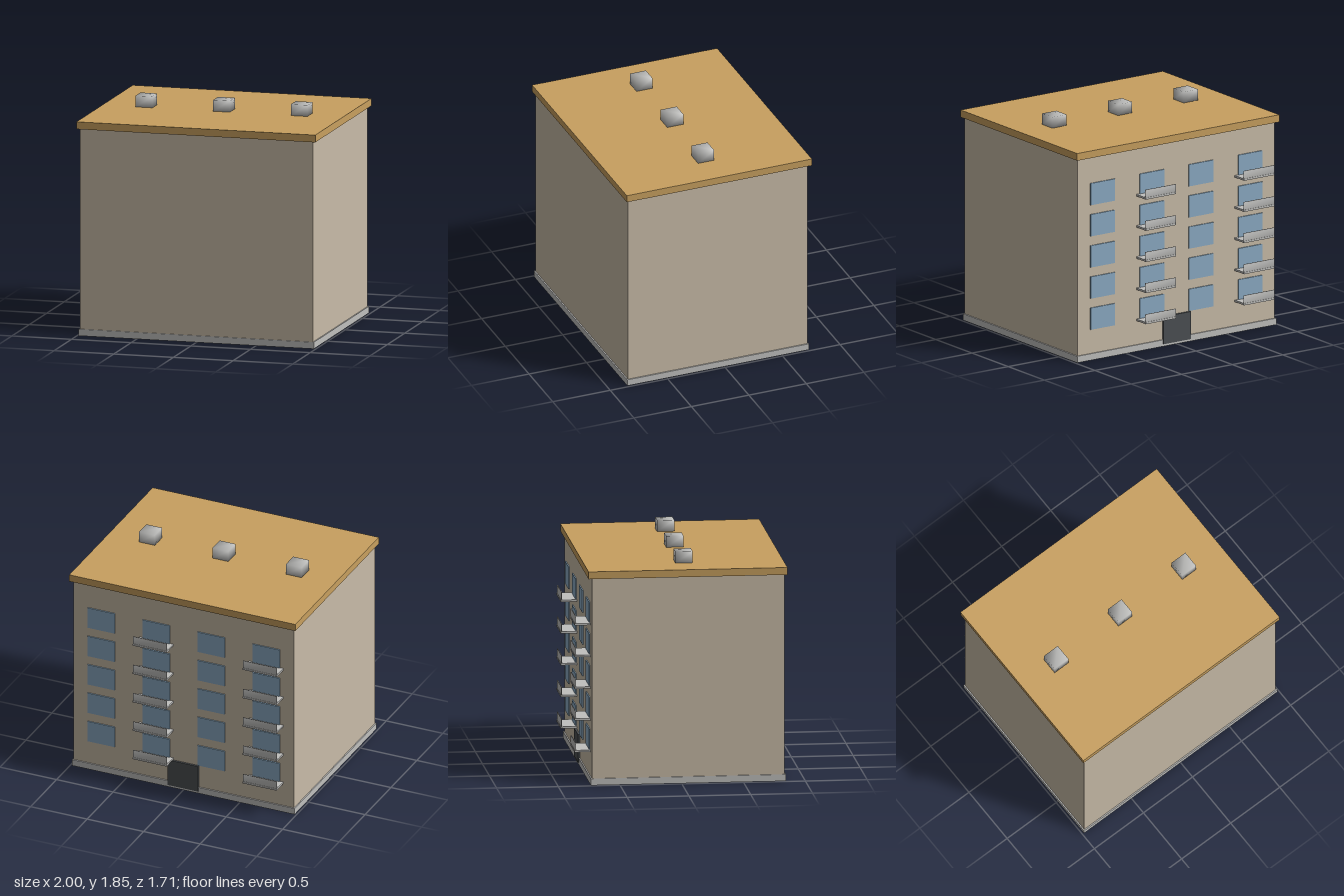
import * as THREE from 'three';
import { mergeVertices } from 'three/addons/utils/BufferGeometryUtils.js';

const material = (name, color) => {
  const m = new THREE.MeshStandardMaterial({ color });
  m.name = name;
  return m;
};

// Box given by its minimum and maximum corners
function block(name, mat, [x0, y0, z0], [x1, y1, z1], soft = false) {
  let geometry = new THREE.BoxGeometry(x1 - x0, y1 - y0, z1 - z0);
  if (soft) {
    // Shared corners give rounded-looking shading
    geometry.deleteAttribute('normal');
    geometry.deleteAttribute('uv');
    geometry = mergeVertices(geometry);
    geometry.computeVertexNormals();
  }
  const mesh = new THREE.Mesh(geometry, mat);
  mesh.name = name;
  mesh.position.set((x0 + x1) / 2, (y0 + y1) / 2, (z0 + z1) / 2);
  return mesh;
}

export function createModel() {
  const plaster = material('plaster', 0xc9bca8);
  const roofing = material('roofing', 0xc8a05f);
  const concrete = material('concrete', 0xc0c0be);
  const glass = material('glass', 0x8babc4);
  const doorPaint = material('door paint', 0x4c5053);

  const model = new THREE.Group();
  model.name = 'apartmentBlock';
  const back = -0.725;

  // Main body, plinth and roof slab
  model.add(
    block('walls', plaster, [-0.975, 0, back], [0.975, 1.695, 0.835]),
    block('plinth', concrete, [-0.985, 0.001, -0.735], [0.985, 0.055, 0.845]),
    block('roof', roofing, [-1, 1.695, -0.755], [1, 1.755, 0.855])
  );

  // Roof vents
  for (const x of [-0.65, 0, 0.65]) {
    model.add(block('roofVent', concrete, [x - 0.07, 1.755, -0.02], [x + 0.07, 1.847, 0.12], true));
  }

  // Entrance door
  model.add(block('door', doorPaint, [-0.135, 0.02, -0.742], [0.135, 0.25, back]));

  // Five floors of windows, with balconies on two of the four columns
  const columns = [-0.73, -0.243, 0.243, 0.73];
  for (let floor = 0; floor < 5; floor++) {
    const y = 0.254 + floor * 0.26;
    columns.forEach((x, i) => {
      model.add(block('window', glass, [x - 0.12, y, back - 0.009], [x + 0.12, y + 0.182, back]));
      if (i % 2) return;
      const balcony = new THREE.Group();
      balcony.name = 'balcony';
      balcony.add(
        block('balconySlab', concrete, [x - 0.15, y, -0.855], [x + 0.15, y + 0.016, back]),
        block('balconyRail', concrete, [x - 0.15, y + 0.016, -0.852], [x + 0.15, y + 0.08, -0.844], true)
      );
      model.add(balcony);
    });
  }
  return model;
}
